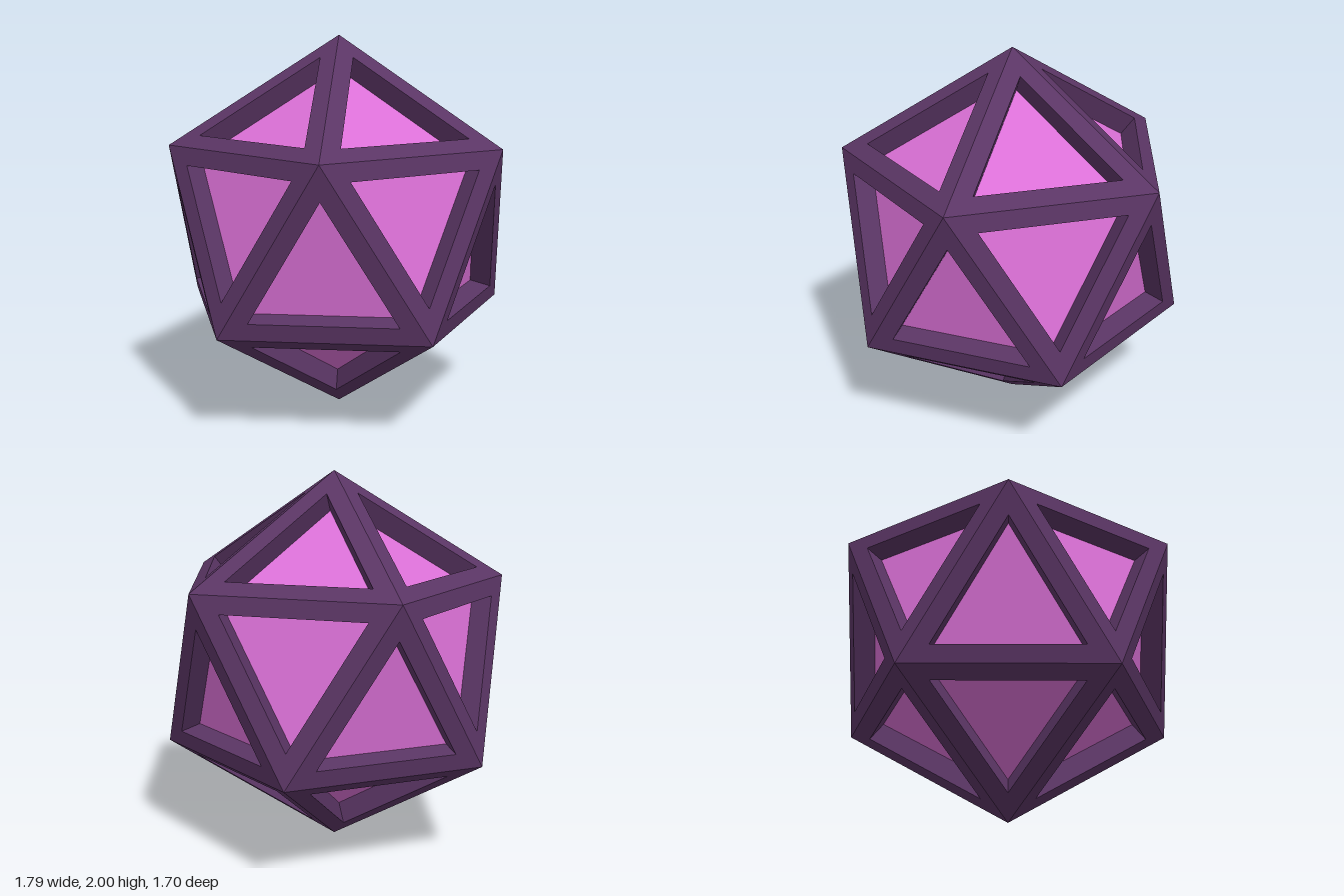
import * as THREE from 'three';

const OPENING = 0.7;   // window size relative to a full face
const DEPTH = 0.115;   // how far the panels sit below the frame
const INRADIUS = 0.7947; // centre-to-face distance of the unit icosahedron

// Twenty triangles of an icosahedron standing on a vertex, counter-clockwise from outside
function icosahedronFaces() {
  const ring = (y, offset) => Array.from({ length: 5 }, (_, i) => {
    const a = (i * 2 * Math.PI) / 5 + offset;
    const r = 2 / Math.sqrt(5);
    return new THREE.Vector3(r * Math.cos(a), y, r * Math.sin(a));
  });
  const top = new THREE.Vector3(0, 1, 0);
  const bottom = new THREE.Vector3(0, -1, 0);
  const upper = ring(1 / Math.sqrt(5), 0);
  const lower = ring(-1 / Math.sqrt(5), Math.PI / 5);
  const faces = [];
  for (let i = 0; i < 5; i++) {
    const n = (i + 1) % 5;
    faces.push(
      [top, upper[n], upper[i]],
      [upper[i], upper[n], lower[i]],
      [upper[n], lower[n], lower[i]],
      [bottom, lower[i], lower[n]],
    );
  }
  return faces;
}

function flatMesh(name, points, color) {
  const geometry = new THREE.BufferGeometry().setFromPoints(points);
  geometry.computeVertexNormals();
  const material = new THREE.MeshStandardMaterial({ color, flatShading: true });
  const mesh = new THREE.Mesh(geometry, material);
  mesh.name = name;
  mesh.position.y = 1;
  return mesh;
}

export function createModel() {
  const group = new THREE.Group();
  group.name = 'framedIcosahedron';
  const framePoints = [];
  const corePoints = [];
  const quad = (a, b, c, d) => framePoints.push(a, b, c, a, c, d);

  for (const face of icosahedronFaces()) {
    const centre = new THREE.Vector3();
    face.forEach((v) => centre.addScaledVector(v, 1 / 3));
    const normal = centre.clone().normalize();
    const rim = face.map((v) => centre.clone().lerp(v, OPENING));
    const floor = rim.map((v) => v.clone().addScaledVector(normal, -DEPTH));

    // Border strips and the recess walls square to the face
    for (let i = 0; i < 3; i++) {
      const n = (i + 1) % 3;
      quad(face[i], face[n], rim[n], rim[i]);
      quad(rim[i], rim[n], floor[n], floor[i]);
    }

    // Inner solid whose faces show through the windows
    face.forEach((v) => corePoints.push(v.clone().multiplyScalar(1 - DEPTH / INRADIUS)));
  }

  group.add(flatMesh('frame', framePoints, 0x5a3564));
  group.add(flatMesh('innerPanels', corePoints, 0xda70d6));
  return group;
}
